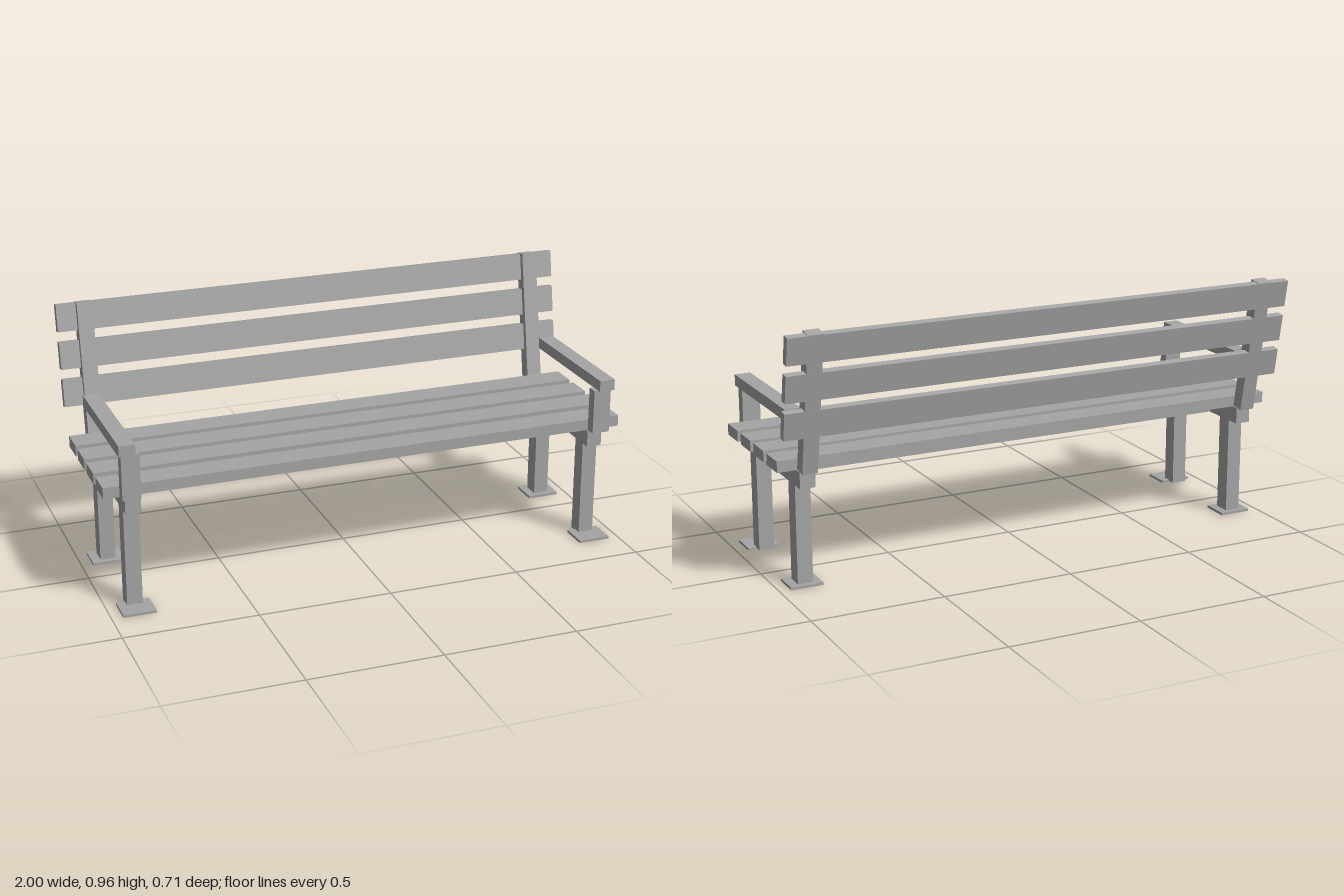
import * as THREE from 'three';

export function createModel() {
  const model = new THREE.Group();
  model.name = 'bench';
  const grey = new THREE.MeshStandardMaterial({ color: 0xa5a5a5 });
  grey.name = 'grey';

  // Box given by its [min, max] extent along each axis
  const box = (name, [x0, x1], [y0, y1], [z0, z1], parent = model) => {
    const mesh = new THREE.Mesh(new THREE.BoxGeometry(x1 - x0, y1 - y0, z1 - z0), grey);
    mesh.position.set((x0 + x1) / 2, (y0 + y1) / 2, (z0 + z1) / 2);
    mesh.name = name;
    parent.add(mesh);
    return mesh;
  };

  // Seat slats
  for (const z of [0.253, 0.114, -0.023, -0.159]) {
    box('seatSlat', [-1, 1], [0.444, 0.486], [z - 0.052, z + 0.052]);
  }

  // Long stretcher under the seat
  box('stretcher', [-0.87, 0.87], [0.38, 0.422], [-0.045, 0.005]);

  // Leaning backrest, hinged at the foot of its posts
  const back = new THREE.Group();
  back.name = 'backrest';
  back.position.set(0, 0.4445, -0.236);
  back.rotation.x = -0.179;
  model.add(back);
  for (let i = 0; i < 3; i++) {
    const top = 0.522 - i * 0.14;
    box('backSlat', [-1, 1], [top - 0.102, top], [-0.025, 0.005], back);
  }

  // End frames, mirrored left and right
  for (const side of [1, -1]) {
    const span = (a, b) => (side > 0 ? [a, b] : [-b, -a]);
    const frame = span(0.868, 0.926);

    box('seatRail', frame, [0.38, 0.443], [-0.234, 0.315]);
    box('frontLeg', frame, [0.005, 0.443], [0.22, 0.281]);
    box('rearLeg', frame, [0.005, 0.443], [-0.182, -0.118]);
    box('frontFoot', span(0.837, 0.959), [0, 0.01], [0.25, 0.355]);
    box('rearFoot', span(0.837, 0.959), [0, 0.01], [-0.202, -0.097]);
    box('armPost', span(0.873, 0.941), [0.444, 0.614], [0.305, 0.345]);
    box('armrest', span(0.89, 0.95), [0.613, 0.655], [-0.17, 0.355]);
    box('backPost', frame, [0, 0.524], [-0.0245, 0.025], back);
  }

  return model;
}
